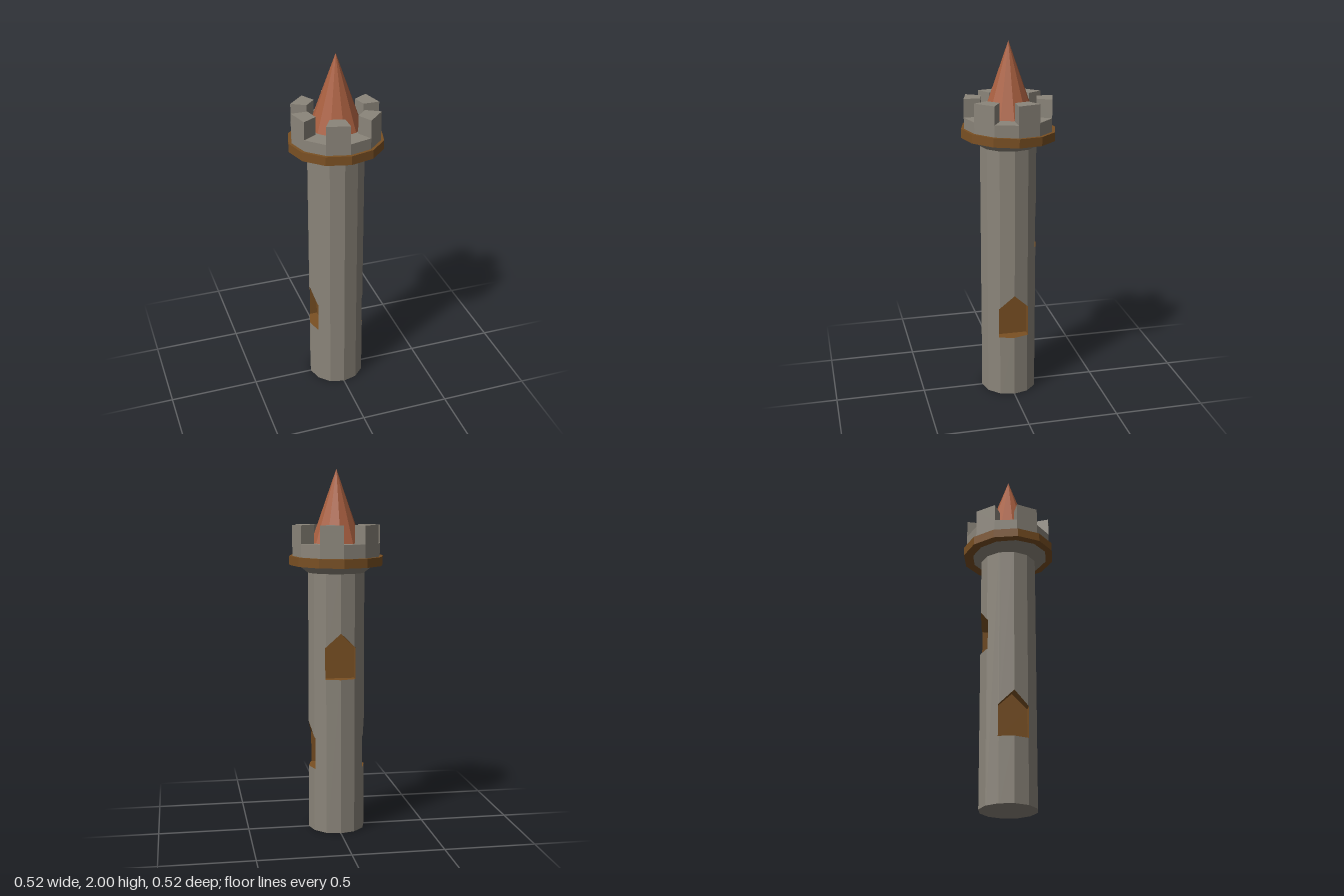
import * as THREE from 'three';

const SIDES = 12, STEP = Math.PI / 6;
const R = 0.157;            // shaft radius
const TOP = 1.44;           // shaft height
const HALF = 0.083;         // window half width
const WALL = 0.09;          // distance of the window panel from the axis
const RISE = { shoulder: 0.175, apex: 0.255 };
const windows = [
  { name: 'leftWindow', angle: Math.PI / 2, sill: 0.355 },
  { name: 'rightWindow', angle: -Math.PI / 2, sill: 0.355 },
  { name: 'backWindow', angle: Math.PI, sill: 0.865 },
];

const flat = (name, color) => {
  const m = new THREE.MeshStandardMaterial({ color, flatShading: true });
  m.name = name;
  return m;
};

const addMesh = (parent, name, geometry, material, y = 0) => {
  const mesh = new THREE.Mesh(geometry, material);
  mesh.name = name;
  mesh.position.y = y;
  parent.add(mesh);
  return mesh;
};

const quadGeometry = (quads) => {
  const pos = [];
  for (const [a, b, c, d] of quads) for (const p of [a, b, c, a, c, d]) pos.push(...p);
  const g = new THREE.BufferGeometry();
  g.setAttribute('position', new THREE.Float32BufferAttribute(pos, 3));
  g.computeVertexNormals();
  return g;
};

// Height of the pointed window head at a sideways offset
const headRise = (s) => RISE.shoulder + (RISE.apex - RISE.shoulder) * (1 - Math.abs(s) / HALF);

// Twelve-sided wall, split into columns so the windows can be left open
function shaftGeometry() {
  const corner = (i) => [Math.sin(i * STEP) * R, Math.cos(i * STEP) * R];
  const notch = (HALF - R / 2) / (R * (Math.sqrt(3) - 1) / 2);
  const cuts = [0, notch, 1 - notch, 1];
  const quads = [];
  for (let i = 0; i < SIDES; i++) {
    const p = corner(i), q = corner(i + 1);
    const at = (t) => [p[0] + (q[0] - p[0]) * t, p[1] + (q[1] - p[1]) * t];
    for (let k = 0; k < 3; k++) {
      const a = at(cuts[k]), b = at(cuts[k + 1]);
      const mid = at((cuts[k] + cuts[k + 1]) / 2);
      const side = (w, v) => v[0] * Math.cos(w.angle) - v[1] * Math.sin(w.angle);
      const out = (w, v) => v[0] * Math.sin(w.angle) + v[1] * Math.cos(w.angle);
      const w = windows.find((n) => out(n, mid) > 0 && Math.abs(side(n, mid)) < HALF);
      const strip = (a0, b0, a1, b1) => quads.push(
        [[a[0], a0, a[1]], [b[0], b0, b[1]], [b[0], b1, b[1]], [a[0], a1, a[1]]]);
      if (w) {
        strip(0, 0, w.sill, w.sill);
        strip(w.sill + headRise(side(w, a)), w.sill + headRise(side(w, b)), TOP, TOP);
      } else strip(0, 0, TOP, TOP);
    }
  }
  return quadGeometry(quads);
}

// Window recess: back panel and the sides that run out to the wall
function buildWindow(spec, material) {
  const group = new THREE.Group();
  group.name = spec.name;
  group.rotation.y = spec.angle;
  group.position.y = spec.sill;
  const h = R / 2, edge = R * Math.cos(STEP);
  const surface = (s) => {
    const m = Math.abs(s);
    return m <= h ? R + (edge - R) * m / h : edge - (m - h);
  };
  const xs = [-HALF, -h, 0, h, HALF];
  const loop = [...xs.map((x) => [x, 0]), ...xs.slice().reverse().map((x) => [x, headRise(x)])];
  const reveal = loop.map(([x, y], i) => {
    const [x2, y2] = loop[(i + 1) % loop.length];
    return [[x, y, surface(x)], [x2, y2, surface(x2)], [x2, y2, WALL], [x, y, WALL]];
  });
  addMesh(group, 'windowReveal', quadGeometry(reveal), material);
  const panel = new THREE.ShapeGeometry(new THREE.Shape(loop.map((p) => new THREE.Vector2(...p))));
  panel.translate(0, 0, WALL);
  addMesh(group, 'windowPanel', panel, material);
  return group;
}

// One battlement block covering a single side of the parapet
function merlonGeometry(start) {
  const pt = (r, a) => new THREE.Vector2(Math.sin(a) * r, -Math.cos(a) * r);
  const end = start + STEP;
  const shape = new THREE.Shape([pt(0.155, start), pt(0.243, start), pt(0.243, end), pt(0.155, end)]);
  return new THREE.ExtrudeGeometry(shape, { depth: 0.1, bevelEnabled: false }).rotateX(-Math.PI / 2);
}

export function createModel() {
  const tower = new THREE.Group();
  tower.name = 'tower';
  const stone = flat('stone', 0x8b857a);
  const wood = flat('wood', 0x7a5023);
  const tile = flat('roofTile', 0xa85f40);

  // Shaft and windows
  addMesh(tower, 'shaft', shaftGeometry(), stone);
  addMesh(tower, 'shaftBase', new THREE.CircleGeometry(R, SIDES).rotateX(Math.PI / 2), stone);
  for (const w of windows) tower.add(buildWindow(w, wood));

  // Flared head and parapet
  addMesh(tower, 'flare', new THREE.CylinderGeometry(0.243, R, 0.066, SIDES, 1, true), stone, 1.473);
  addMesh(tower, 'parapet', new THREE.CylinderGeometry(0.243, 0.243, 0.094, SIDES), stone, 1.553);

  // Slightly tilted wooden band
  const band = addMesh(tower, 'woodenBand', new THREE.CylinderGeometry(0.26, 0.26, 0.049, SIDES), wood, 1.508);
  band.rotation.x = -0.03;

  // Battlements
  for (let k = 0; k < 6; k++) addMesh(tower, 'merlon', merlonGeometry((2 * k + 1) * STEP), stone, 1.6);

  // Pointed roof
  addMesh(tower, 'roof', new THREE.ConeGeometry(0.145, 0.41, SIDES), tile, 1.795);
  return tower;
}
